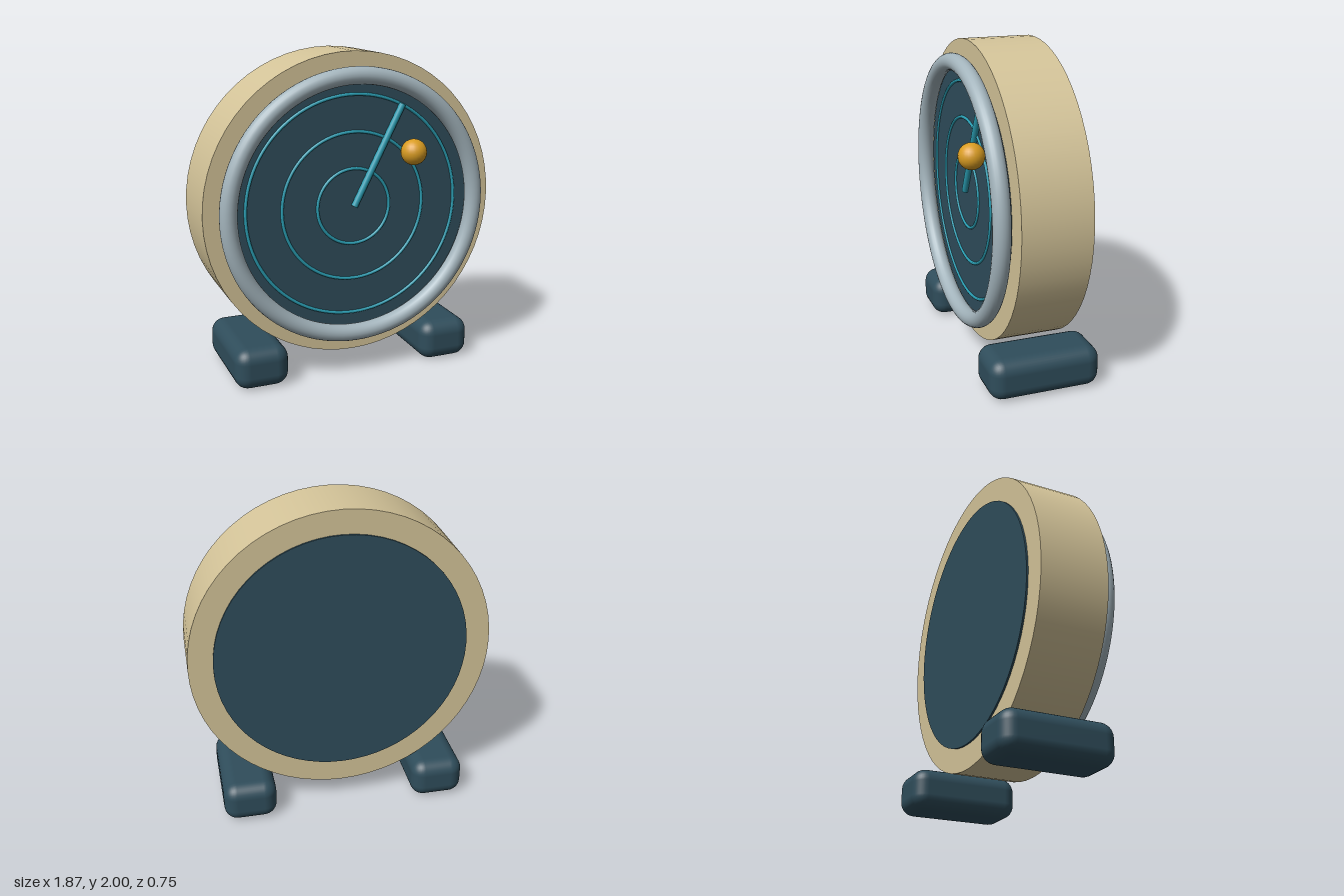
import * as THREE from 'three';
import { RoundedBoxGeometry } from 'three/addons/geometries/RoundedBoxGeometry.js';

const paint = (name, color) => {
  const m = new THREE.MeshStandardMaterial({ color });
  m.name = name;
  return m;
};

export function createModel() {
  const cream = paint('cream', 0xd4c499);
  const slate = paint('dark slate', 0x2f4d5b);
  const steel = paint('pale steel', 0xa3b4bc);
  const teal = paint('teal', 0x2a9db2);
  const amber = paint('amber', 0xd99c22);

  const model = new THREE.Group();
  model.name = 'radarDial';
  const add = (parent, name, geometry, material, x = 0, y = 0, z = 0) => {
    const mesh = new THREE.Mesh(geometry, material);
    mesh.name = name;
    mesh.position.set(x, y, z);
    parent.add(mesh);
    return mesh;
  };
  // Cylinder lying along z between two depths
  const drum = (radius, back, front) =>
    new THREE.CylinderGeometry(radius, radius, front - back, 64)
      .rotateX(Math.PI / 2).translate(0, 0, (back + front) / 2);

  // Everything round shares the dial centre
  const dial = new THREE.Group();
  dial.name = 'dial';
  dial.position.y = 1.066;
  model.add(dial);

  add(dial, 'housing', drum(0.934, -0.225, 0.2), cream);
  add(dial, 'screen', drum(0.784, 0.19, 0.211), slate);
  add(dial, 'backPlate', drum(0.784, -0.236, -0.215), slate);
  add(dial, 'bezel', new THREE.TorusGeometry(0.797, 0.053, 20, 96), steel, 0, 0, 0.263);

  // Range rings on the screen
  for (const radius of [0.234, 0.458, 0.682]) {
    add(dial, 'rangeRing', new THREE.TorusGeometry(radius, 0.01, 8, 96), teal, 0, 0, 0.213);
  }

  // Sweep hand, hinged at the centre
  const length = 0.686;
  const hand = add(dial, 'sweepHand',
    new THREE.CylinderGeometry(0.021, 0.021, length, 16).translate(0, length / 2, 0),
    teal, 0, 0, 0.224);
  hand.rotation.z = -0.475;

  add(dial, 'blip', new THREE.SphereGeometry(0.08, 24, 16), amber, 0.36, 0.324, 0.294);

  // Feet
  for (const side of [-1, 1]) {
    add(model, side > 0 ? 'leftFoot' : 'rightFoot',
      new RoundedBoxGeometry(0.337, 0.256, 0.692, 4, 0.085),
      slate, side * 0.615, 0.128, -0.032);
  }
  return model;
}
